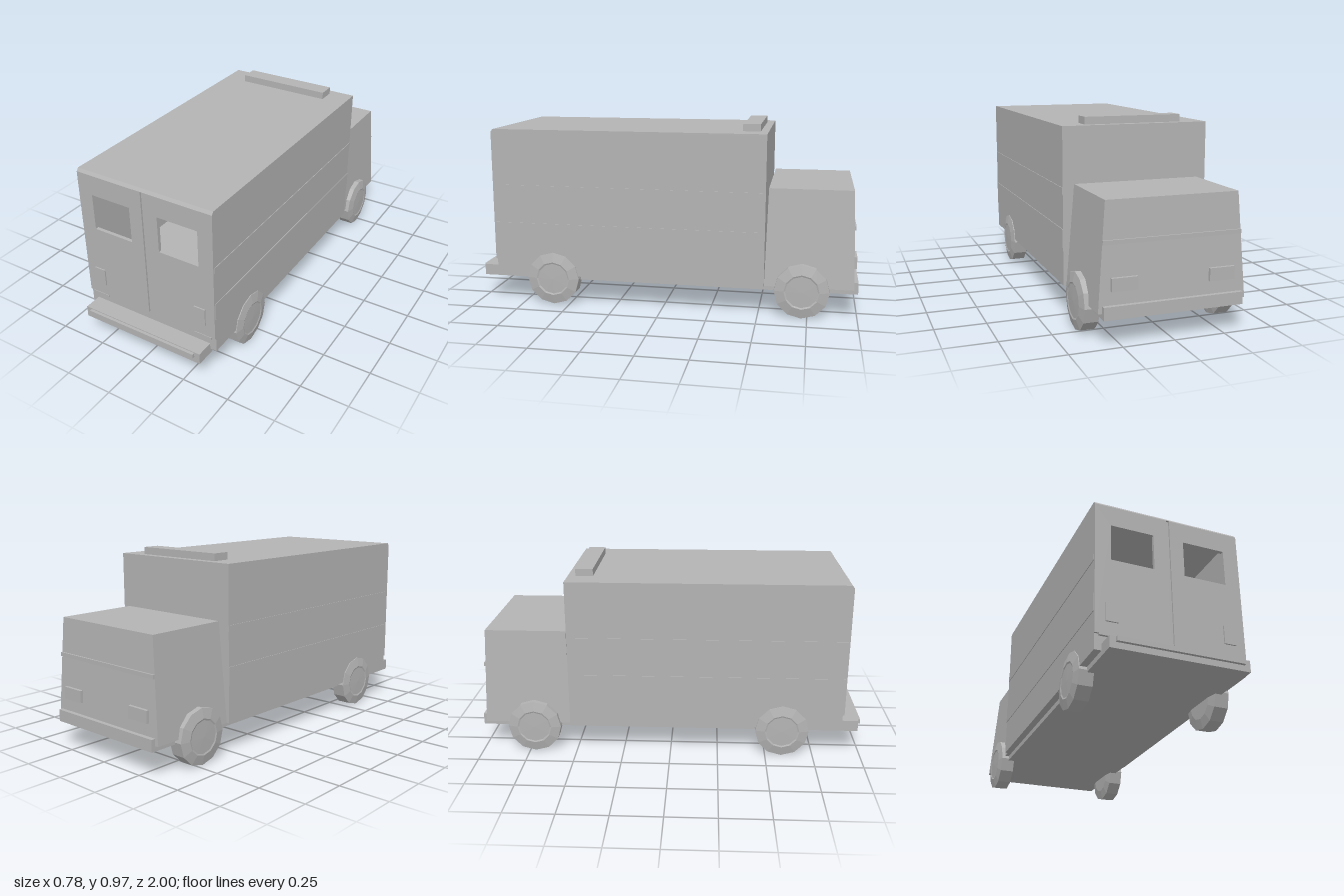
import * as THREE from 'three';

export function createModel() {
  const model = new THREE.Group();
  const grey = new THREE.MeshStandardMaterial({ color: 0xb3b3b3 });
  grey.name = 'plain grey';

  const add = (name, geometry) => {
    const mesh = new THREE.Mesh(geometry, grey);
    mesh.name = name;
    model.add(mesh);
    return mesh;
  };
  // Box given by its lower and upper limits on each axis
  const box = (name, x0, x1, y0, y1, z0, z1) => {
    const g = new THREE.BoxGeometry(x1 - x0, y1 - y0, z1 - z0);
    g.translate((x0 + x1) / 2, (y0 + y1) / 2, (z0 + z1) / 2);
    return add(name, g);
  };
  // The same box on both sides
  const pair = (name, x0, x1, y0, y1, z0, z1) => {
    box(name + 'Left', x0, x1, y0, y1, z0, z1);
    box(name + 'Right', -x1, -x0, y0, y1, z0, z1);
  };

  // Chassis and bumpers
  box('chassis', -0.34, 0.34, 0.13, 0.165, -0.97, 0.9);
  box('doorStep', -0.34, 0.34, 0.13, 0.188, 0.89, 0.985);
  box('stepStrip', -0.31, 0.31, 0.16, 0.184, 0.98, 1.0);
  box('cabBumper', -0.34, 0.34, 0.13, 0.19, -1.0, -0.96);

  // Hollow cargo body
  box('cargoFloor', -0.374, 0.374, 0.156, 0.29, -0.53, 0.895);
  pair('cargoWall', 0.363, 0.375, 0.156, 0.92, -0.53, 0.895);
  box('cargoBulkhead', -0.37, 0.37, 0.2, 0.92, -0.53, -0.518);
  const roof = box('cargoRoof', -0.375, 0.375, 0.915, 0.93, -0.53, 0.904);
  const rp = roof.geometry.attributes.position;
  for (let i = 0; i < rp.count; i++) {
    if (rp.getY(i) > 0.925 && rp.getZ(i) > 0.5) rp.setZ(i, 0.893);
  }
  roof.geometry.computeVertexNormals();
  box('roofLightBar', -0.25, 0.25, 0.93, 0.967, -0.49, -0.4);
  pair('upperSideTrim', 0.374, 0.378, 0.607, 0.638, -0.53, 0.895);
  pair('lowerSideTrim', 0.374, 0.378, 0.345, 0.436, -0.53, 0.895);

  // Rear doors with window openings
  const rect = (Type, x0, x1, y0, y1) => new Type([
    new THREE.Vector2(x0, y0), new THREE.Vector2(x1, y0),
    new THREE.Vector2(x1, y1), new THREE.Vector2(x0, y1),
  ]);
  for (const [name, a, b, w0, w1] of [
    ['doorLeft', 0.008, 0.375, 0.078, 0.296],
    ['doorRight', -0.375, -0.008, -0.296, -0.078],
  ]) {
    const shape = rect(THREE.Shape, a, b, 0.235, 0.915);
    shape.holes.push(rect(THREE.Path, w0, w1, 0.622, 0.81));
    const g = new THREE.ExtrudeGeometry(shape, { depth: 0.018, bevelEnabled: false });
    g.translate(0, 0, 0.886);
    add(name, g);
  }
  box('doorPost', -0.02, 0.02, 0.235, 0.915, 0.88, 0.895);
  pair('tailLight', 0.265, 0.325, 0.298, 0.39, 0.9, 0.911);
  pair('doorSill', 0.26, 0.355, 0.226, 0.236, 0.89, 0.907);

  // Tapered cab
  const cab = box('cab', -0.36, 0.36, 0.156, 0.655, -0.98, -0.53);
  const cp = cab.geometry.attributes.position;
  for (let i = 0; i < cp.count; i++) {
    if (cp.getY(i) < 0.5) continue;
    cp.setX(i, Math.sign(cp.getX(i)) * 0.322);
    cp.setZ(i, cp.getZ(i) < -0.7 ? -0.962 : -0.542);
  }
  cab.geometry.computeVertexNormals();
  box('cabTrim', -0.335, 0.335, 0.46, 0.48, -0.977, -0.96);
  pair('headlight', 0.175, 0.3, 0.252, 0.313, -0.99, -0.965);

  // Twelve-sided wheels with tapered sidewalls and a raised hub ring
  const profile = [
    [0, -0.047], [0.09, -0.047], [0.14, -0.036], [0.14, 0.036],
    [0.09, 0.047], [0.082, 0.044], [0, 0.046],
  ].map(([r, y]) => new THREE.Vector2(r, y));
  const wheelGeometry = new THREE.LatheGeometry(profile, 12).toNonIndexed();
  wheelGeometry.computeVertexNormals();
  for (const side of [1, -1]) {
    for (const [name, z] of [['cargoWheel', 0.585], ['cabWheel', -0.72]]) {
      const wheel = add(name + (side > 0 ? 'Left' : 'Right'), wheelGeometry);
      wheel.position.set(side * 0.343, 0.14, z);
      wheel.rotation.z = -side * Math.PI / 2;
    }
  }
  return model;
}
